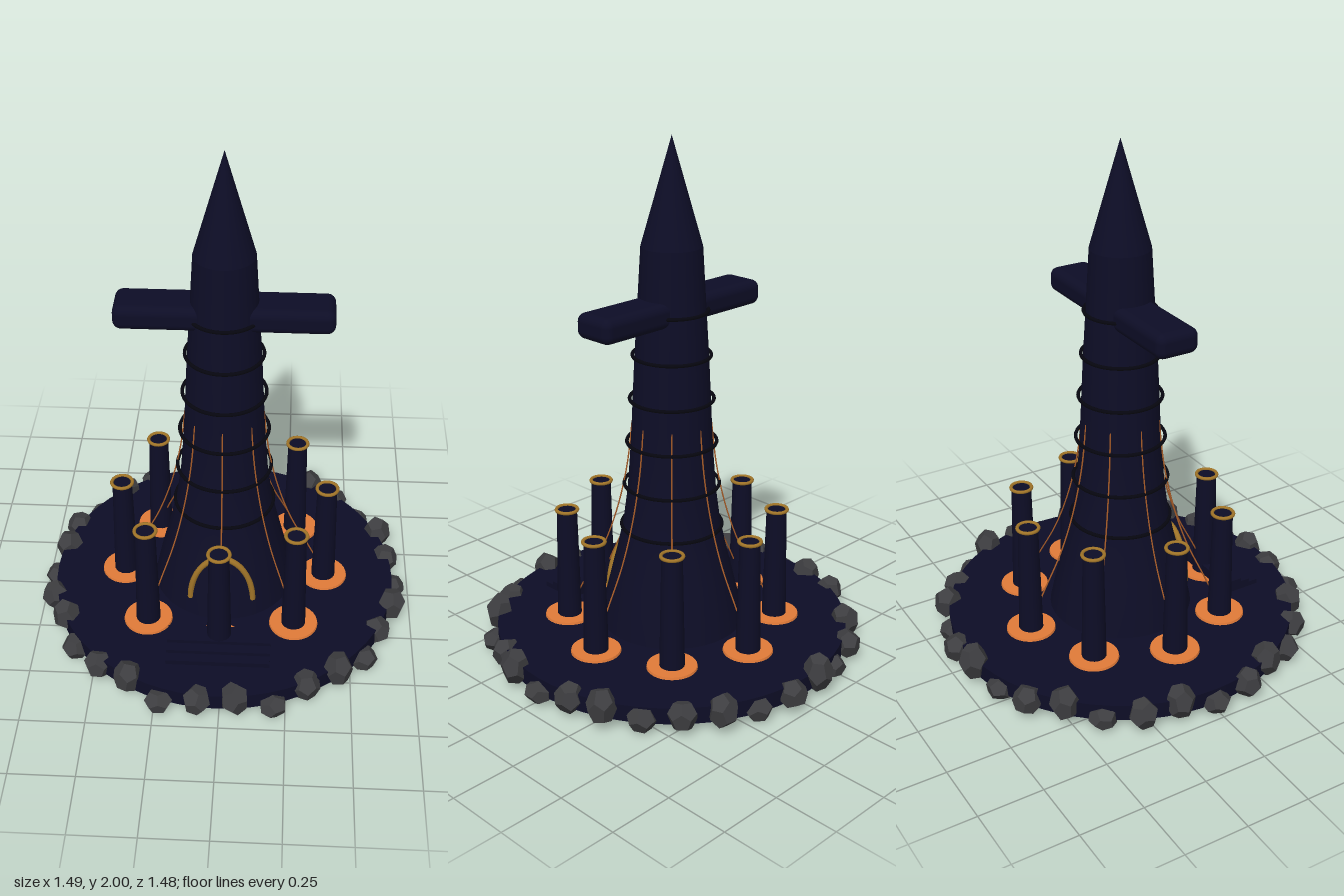
import * as THREE from 'three';
import { RoundedBoxGeometry } from 'three/addons/geometries/RoundedBoxGeometry.js';

const mat = (name, color, extra = {}) => {
  const m = new THREE.MeshStandardMaterial({ color, ...extra });
  m.name = name;
  return m;
};

export function createModel() {
  const navy = mat('navy', 0x0d0d26);
  const black = mat('black', 0x06060f);
  const orange = mat('orange', 0xe07a38);
  const copper = mat('copper', 0xa85c28);
  const gold = mat('gold', 0xa07428);
  const stone = mat('stone', 0x3d3d40, { flatShading: true });

  const model = new THREE.Group();
  const add = (name, geometry, material, x = 0, y = 0, z = 0, parent = model) => {
    const mesh = new THREE.Mesh(geometry, material);
    mesh.name = name;
    mesh.position.set(x, y, z);
    parent.add(mesh);
    return mesh;
  };

  // Round island
  add('island', new THREE.CylinderGeometry(0.69, 0.69, 0.065, 64), navy, 0, 0.0675, 0);

  // Flared tower and its pointed roof
  const profile = [
    [0.285, 0.09], [0.262, 0.2], [0.235, 0.31], [0.208, 0.42], [0.187, 0.52], [0.171, 0.64],
    [0.16, 0.78], [0.152, 0.92], [0.141, 1.15], [0.126, 1.4], [0.114, 1.6],
  ].map(([r, y]) => new THREE.Vector2(r, y));
  add('tower', new THREE.LatheGeometry(profile, 40), navy);
  add('spire', new THREE.ConeGeometry(0.114, 0.4, 40), navy, 0, 1.8, 0);

  // Loose rings around the tower
  for (let i = 0; i < 6; i++) {
    const ring = new THREE.TorusGeometry(0.195 - i * 0.0119, 0.007, 8, 48);
    add('towerRing', ring, black, 0, 0.5 + i * 0.172, 0).rotation.x = Math.PI / 2;
  }

  // Crossbar
  add('crossbar', new RoundedBoxGeometry(0.805, 0.095, 0.17, 4, 0.032), navy, 0, 1.367, 0);

  // Door arch
  const arch = [];
  for (let i = 0; i <= 16; i++) {
    const a = (i / 16) * Math.PI;
    arch.push(new THREE.Vector3(Math.cos(a) * 0.123, 0.17 + Math.sin(a) * 0.205, 0.232));
  }
  add('doorArch', new THREE.TubeGeometry(new THREE.CatmullRomCurve3(arch), 40, 0.012, 8), gold);

  // Low front steps
  for (let i = 0; i < 3; i++) {
    const depth = 0.16 - i * 0.04, height = 0.025 + i * 0.015;
    add('step', new THREE.BoxGeometry(0.4, height, depth), navy, 0, 0.095 + height / 2, 0.375 + depth / 2);
  }

  // Eight chimneys, each with a glowing pool, a rim and a cable to the tower
  const cable = new THREE.CatmullRomCurve3(
    [[0.15, 0.925], [0.172, 0.74], [0.212, 0.56], [0.268, 0.4], [0.345, 0.25], [0.4, 0.14]]
      .map(([r, y]) => new THREE.Vector3(r, y, 0)));
  for (let i = 0; i < 8; i++) {
    const unit = new THREE.Group();
    unit.name = 'chimneyUnit';
    unit.rotation.y = (i * Math.PI) / 4;
    add('chimney', new THREE.CylinderGeometry(0.039, 0.048, 0.46, 20), navy, 0.407, 0.325, 0, unit);
    add('chimneyRim', new THREE.TorusGeometry(0.041, 0.007, 8, 28), gold, 0.407, 0.555, 0, unit)
      .rotation.x = Math.PI / 2;
    add('chimneyPool', new THREE.CylinderGeometry(0.094, 0.097, 0.012, 32), orange, 0.407, 0.103, 0, unit);
    add('cable', new THREE.TubeGeometry(cable, 32, 0.003, 6), copper, 0, 0, 0, unit);
    model.add(unit);
  }

  // Ring of shoreline rocks, every third one lower
  const tops = [0.097, 0.138, 0.124];
  for (let i = 0; i < 30; i++) {
    const a = (i * Math.PI) / 15;
    const top = tops[i % 3], r = 0.69 + 0.012 * Math.sin(i * 2.3);
    const rock = new THREE.DodecahedronGeometry(0.057, 0);
    rock.rotateX(i * 1.3).rotateY(i * 2.1).rotateZ(i * 0.7);
    // Stretch each rock to its height and stand it just above the ground
    rock.computeBoundingBox();
    const { min, max } = rock.boundingBox;
    const base = i % 3 === 1 ? 0 : 0.012;
    const s = (top - base) / (max.y - min.y);
    rock.scale(1, s, 1).translate(0, base - min.y * s, 0);
    add('rock', rock, stone, Math.cos(a) * r, 0, Math.sin(a) * r);
  }

  model.position.set(-0.013, 0, -0.005);
  const root = new THREE.Group();
  root.name = 'islandTower';
  root.add(model);
  return root;
}
